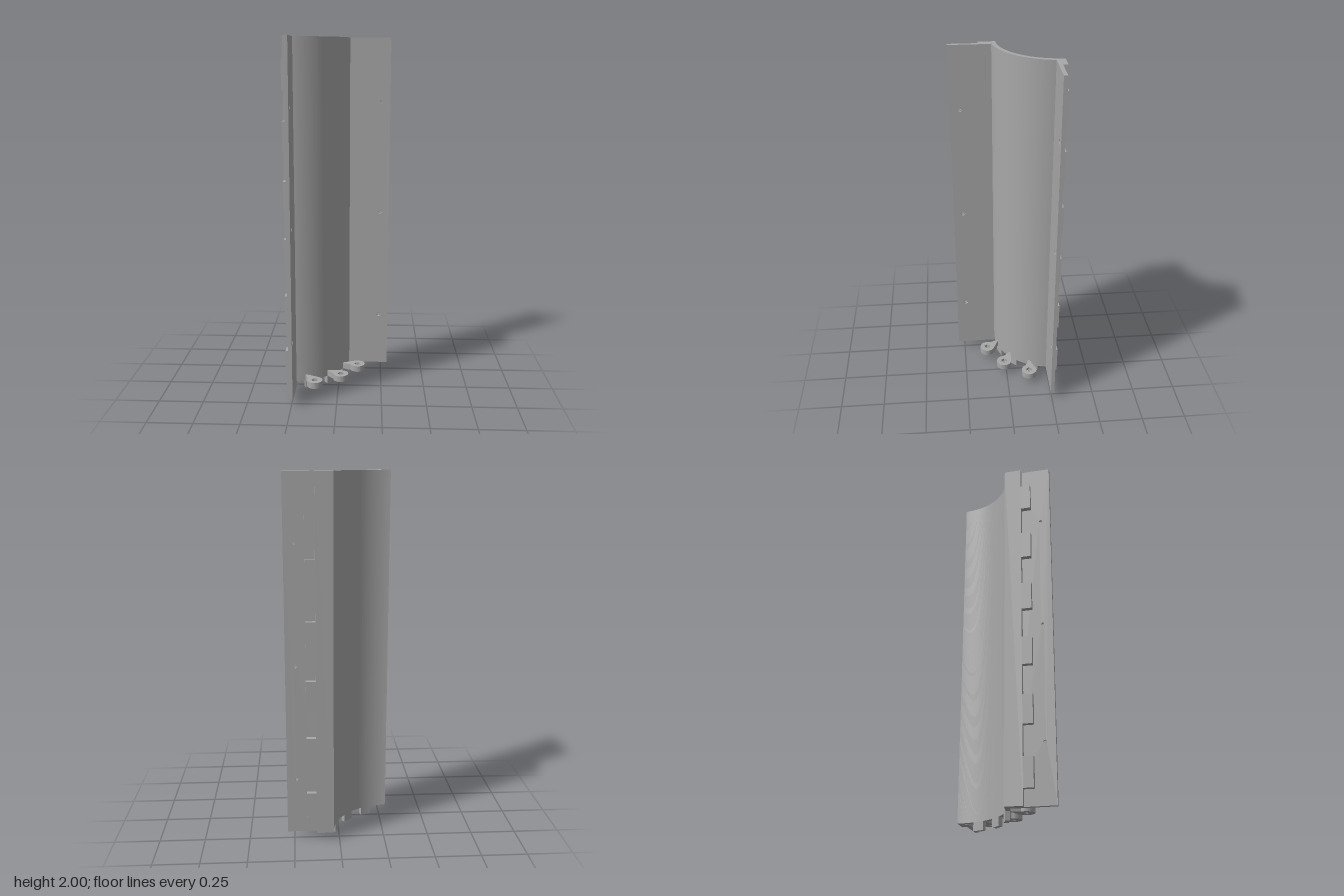
import * as THREE from 'three';
import { toCreasedNormals } from 'three/addons/utils/BufferGeometryUtils.js';

const C = -0.29;            // centre of the curved wall, in x and z
const R0 = 0.323, R1 = 0.347; // concave and convex radii
const BOTTOM = 0.045, TOP = 2;

const grey = new THREE.MeshStandardMaterial({ color: 0xa8a8a8 });
grey.name = 'grey plastic';

function circle(x, y, r) {
  return new THREE.Path().absarc(x, y, r, 0, Math.PI * 2, true);
}

// Extrude a plan drawn in (x, z) between two heights
function plan(shape, y0, y1) {
  const g = new THREE.ExtrudeGeometry(shape, { depth: y1 - y0, bevelEnabled: false, curveSegments: 40 });
  return g.rotateX(Math.PI / 2).translate(0, y1, 0);
}

// Mirror a geometry across the x = z diagonal, keeping faces outward
function swapXZ(source) {
  const g = source.index ? source.toNonIndexed() : source.clone();
  const p = g.attributes.position;
  const v = [0, 1, 2].map(() => new THREE.Vector3());
  for (let i = 0; i < p.count; i += 3) {
    v.forEach((q, k) => q.fromBufferAttribute(p, i + k));
    [v[0], v[2], v[1]].forEach((q, k) => p.setXYZ(i + k, q.z, q.y, q.x));
  }
  g.computeVertexNormals();
  return g;
}

function add(parent, name, geometry) {
  const mesh = new THREE.Mesh(toCreasedNormals(geometry, 0.5), grey);
  mesh.name = name;
  parent.add(mesh);
}

// Curved wall with a short hinge strip at either end
function wallGeometry() {
  const a = Math.asin(0.027 / R1);
  const s = new THREE.Shape();
  s.moveTo(C + R0, C);
  s.lineTo(0.127, C);
  s.lineTo(0.127, -0.263);
  s.absarc(C, C, R1, a, Math.PI / 2 - a, false);
  s.lineTo(-0.263, 0.127);
  s.lineTo(C, 0.127);
  s.lineTo(C, C + R0);
  s.absarc(C, C, R0, Math.PI / 2, 0, true);
  return plan(s, BOTTOM, TOP);
}

// One layer of the flat flange, with three screw holes
function flangeLayer(holeRadius, z0, z1) {
  const s = new THREE.Shape();
  s.moveTo(0.058, BOTTOM);
  s.lineTo(0.288, BOTTOM);
  s.lineTo(0.288, TOP);
  s.lineTo(0.058, TOP);
  s.closePath();
  for (const y of [0.36, 1.0, 1.645]) s.holes.push(circle(0.234, y, holeRadius));
  return new THREE.ExtrudeGeometry(s, { depth: z1 - z0, bevelEnabled: false, curveSegments: 10 }).translate(0, 0, z0);
}

// Arm ending in a round eye, pointing along +x from the wall's centre
function lugShape(hole) {
  const half = 0.03, r = 0.044, eye = 0.43;
  const end = Math.PI - Math.asin(half / r);
  const s = new THREE.Shape();
  s.moveTo(0.335, -half);
  s.absarc(eye, 0, r, -end, end, false);
  s.lineTo(0.335, half);
  s.closePath();
  s.holes.push(hole);
  return s;
}

function hexagon(x, r, turn) {
  const pts = [];
  for (let i = 0; i < 6; i++) {
    const a = -i * Math.PI / 3 - turn;
    pts.push(new THREE.Vector2(x + r * Math.cos(a), r * Math.sin(a)));
  }
  const path = new THREE.Path(pts);
  path.closePath();
  return path;
}

// Curved foot below the wall
function footShape() {
  const g0 = Math.asin(0.031 / R0), g1 = Math.asin(0.031 / R1);
  const s = new THREE.Shape();
  s.absarc(0, 0, R1, -g1, g1, false);
  s.absarc(0, 0, R0, g0, -g0, true);
  s.closePath();
  return s;
}

export function createModel() {
  const model = new THREE.Group();
  model.name = 'hingedCornerPanel';

  add(model, 'curvedWall', wallGeometry());

  // Flanges and their teeth, mirrored across the diagonal
  for (const [side, place] of [['left', g => g], ['right', swapXZ]]) {
    const flange = new THREE.Group();
    flange.name = side + 'Flange';
    add(flange, 'flangeBack', place(flangeLayer(0.008, -0.263, -0.252)));
    add(flange, 'flangeFront', place(flangeLayer(0.014, -0.252, -0.242)));
    for (let i = 0; i < 6; i++) {
      const tooth = new THREE.BoxGeometry(0.053, 0.155, 0.027);
      tooth.translate(0.1535, 0.207 + i * 0.32, -0.2765);
      add(flange, 'hingeTooth', place(tooth));
    }
    model.add(flange);
  }

  // Three screw lugs with nut pockets, each over a foot
  for (const degrees of [21.6, 45, 68.4]) {
    const angle = THREE.MathUtils.degToRad(degrees);
    const lug = new THREE.Group();
    lug.name = 'screwLug';
    add(lug, 'lugBase', plan(lugShape(circle(0.43, 0, 0.0105)), BOTTOM, 0.063));
    add(lug, 'lugNutPocket', plan(lugShape(hexagon(0.43, 0.019, angle)), 0.063, 0.08));
    add(lug, 'foot', plan(footShape(), 0, BOTTOM));
    lug.position.set(C, 0, C);
    lug.rotation.y = -angle;
    model.add(lug);
  }
  return model;
}
